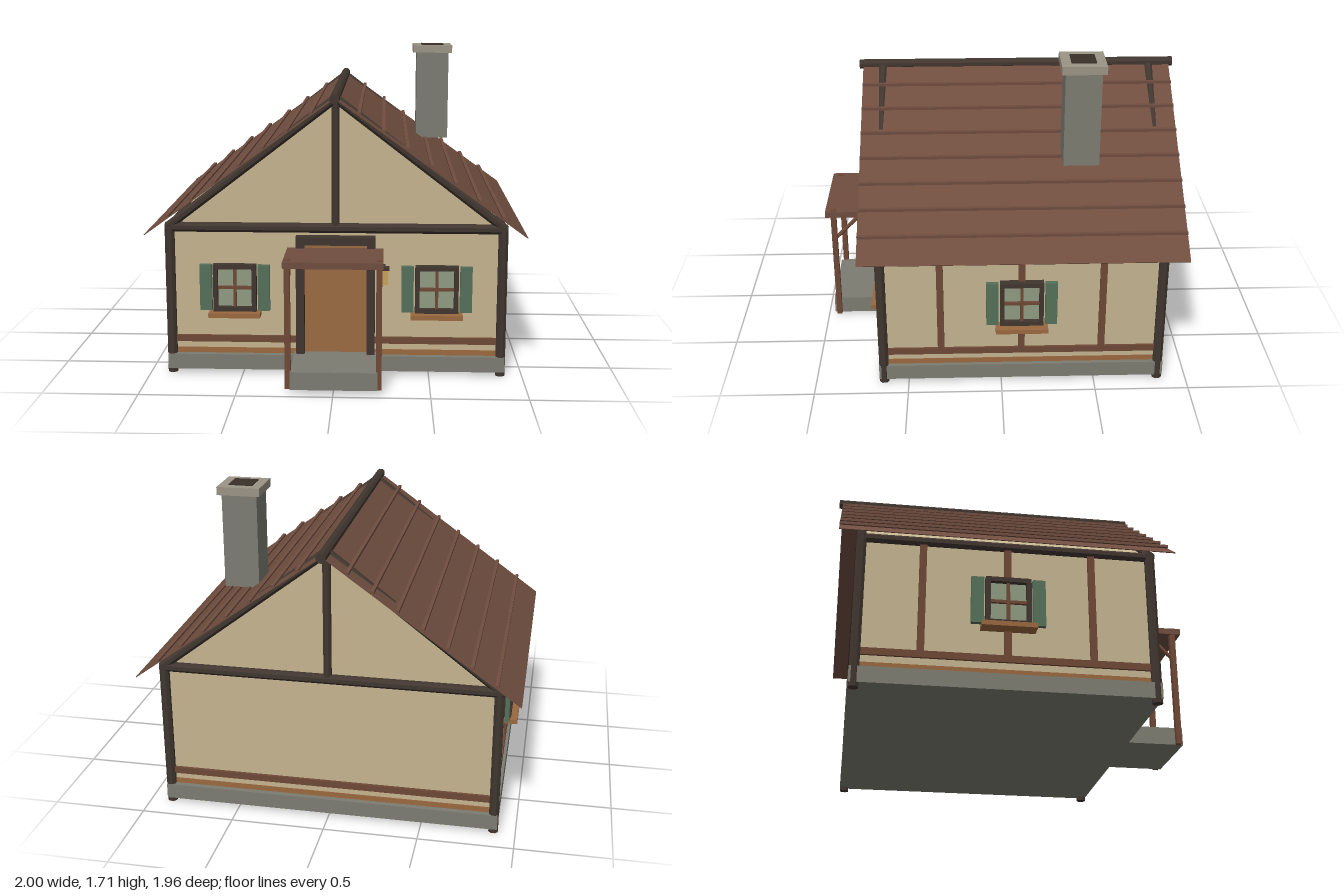
import * as THREE from 'three';

const mat = (color) => new THREE.MeshStandardMaterial({ color, flatShading: true });
const M = {
  wall: mat(0xc4b38f), dark: mat(0x40362f), brown: mat(0x6e4836), roof: mat(0x6f4d3f),
  stone: mat(0x7c7c72), cap: mat(0x9a9484), soot: mat(0x3a302a), glass: mat(0x8f9a80),
  green: mat(0x55705a), wood: mat(0x9a683f), door: mat(0x9c6b42), lamp: mat(0xc9a25a),
};
M.roof.side = THREE.DoubleSide;

// Box given by its extents on each axis
function box(parent, name, m, [x0, x1], [y0, y1], [z0, z1]) {
  const mesh = new THREE.Mesh(new THREE.BoxGeometry(x1 - x0, y1 - y0, z1 - z0), m);
  mesh.position.set((x0 + x1) / 2, (y0 + y1) / 2, (z0 + z1) / 2);
  mesh.name = name;
  parent.add(mesh);
  return mesh;
}

// Eight-sided timber between two points
function timber(parent, name, m, a, b, r = 0.027) {
  const p = new THREE.Vector3(...a), q = new THREE.Vector3(...b);
  const d = q.clone().sub(p);
  const geo = new THREE.CylinderGeometry(r, r, d.length(), 8);
  geo.rotateY(Math.PI / 8);
  const mesh = new THREE.Mesh(geo, m);
  mesh.position.copy(p).add(q).multiplyScalar(0.5);
  mesh.quaternion.setFromUnitVectors(new THREE.Vector3(0, 1, 0), d.normalize());
  mesh.name = name;
  parent.add(mesh);
}

// Shuttered window facing +z with the wall face at z = 0
function makeWindow() {
  const g = new THREE.Group();
  g.name = 'window';
  box(g, 'glass', M.glass, [-0.1, 0.1], [-0.115, 0.115], [-0.01, 0.015]);
  for (const s of [-1, 1]) {
    const x = s * 0.103, y = s * 0.116;
    box(g, 'frameSide', M.dark, [x - 0.012, x + 0.012], [-0.128, 0.128], [0, 0.042]);
    box(g, 'frameRail', M.dark, [-0.115, 0.115], [y - 0.012, y + 0.012], [0, 0.042]);
    box(g, 'shutter', M.green, [s * 0.155 - 0.032, s * 0.155 + 0.032], [-0.124, 0.126], [0.01, 0.035]);
  }
  box(g, 'mullion', M.brown, [-0.008, 0.008], [-0.115, 0.115], [0, 0.03]);
  box(g, 'glazingBar', M.brown, [-0.1, 0.1], [-0.008, 0.008], [0, 0.03]);
  box(g, 'sill', M.wood, [-0.138, 0.138], [-0.154, -0.129], [0, 0.08]);
  return g;
}

export function createModel() {
  const house = new THREE.Group();
  house.name = 'cottage';
  const W = 0.88, ZF = 0.625, ZB = -0.84, ZM = -0.107;

  // Foundation and floor edge
  box(house, 'foundation', M.stone, [-0.905, 0.905], [0.022, 0.105], [-0.872, 0.658]);
  box(house, 'floor', M.wood, [-W - 0.002, W + 0.002], [0.105, 0.135], [ZB - 0.002, ZF + 0.002]);

  // Walls with gables
  const outline = new THREE.Shape([[-W, 0.1], [W, 0.1], [W, 0.81], [0, 1.48], [-W, 0.81]]
    .map(([x, y]) => new THREE.Vector2(x, y)));
  const walls = new THREE.Mesh(
    new THREE.ExtrudeGeometry(outline, { depth: ZF - ZB, bevelEnabled: false }), M.wall);
  walls.position.z = ZB;
  walls.name = 'walls';
  house.add(walls);

  // Gable-end timbers, front and back
  for (const z of [0.632, -0.846]) {
    for (const s of [-1, 1]) {
      timber(house, 'cornerPost', M.dark, [s * 0.884, 0, z], [s * 0.884, 0.82, z]);
      timber(house, 'rafter', M.dark, [0, 1.49, z], [s * 0.89, 0.807, z], 0.025);
    }
    timber(house, 'tieBeam', M.dark, [-0.905, 0.803, z], [0.905, 0.803, z]);
    timber(house, 'kingPost', M.dark, [0, 0.8, z], [0, 1.48, z], 0.022);
  }
  timber(house, 'ridgeBeam', M.dark, [0, 1.497, -0.98], [0, 1.497, 0.76], 0.026);

  // Side timbers and lower rails
  box(house, 'backRail', M.brown, [-W, W], [0.17, 0.206], [ZB - 0.015, ZB + 0.01]);
  for (const s of [-1, 1]) {
    const xs = [s * W - 0.013, s * W + 0.013];
    box(house, 'frontRail', M.brown, s > 0 ? [0.2, W] : [-W, -0.2], [0.17, 0.206], [ZF - 0.01, ZF + 0.015]);
    box(house, 'sideRail', M.brown, xs, [0.17, 0.206], [ZB, ZF]);
    for (const z of [0.322, ZM, -0.535])
      box(house, 'stud', M.brown, xs, [0.2, 0.8], [z - 0.018, z + 0.018]);
    timber(house, 'wallPlate', M.dark, [s * W, 0.803, ZB], [s * W, 0.803, ZF], 0.025);

    // Windows
    const front = makeWindow();
    front.position.set(s * 0.538, 0.476, ZF);
    const side = makeWindow();
    side.position.set(s * W, 0.488, ZM);
    side.rotation.y = s * Math.PI / 2;
    house.add(front, side);
  }

  // Roof slopes with battens
  const rise = 0.72, len = Math.hypot(1, rise);
  for (const s of [-1, 1]) {
    const slope = new THREE.Mesh(new THREE.BoxGeometry(len, 0.004, 1.7), M.roof);
    slope.position.set(s * 0.5, 1.5 - rise / 2, -0.11);
    slope.rotation.z = -s * Math.atan(rise);
    slope.name = 'roofSlope';
    house.add(slope);
    for (let i = 1; i <= 7; i++) {
      const x = s * i * 0.125, y = 1.5 - rise * i * 0.125 + 0.012;
      box(house, 'roofBatten', M.roof, [x - 0.009, x + 0.009], [y - 0.008, y + 0.007], [-0.96, 0.74]);
    }
  }

  // Chimney
  const chimney = new THREE.Group();
  chimney.name = 'chimney';
  box(chimney, 'chimneyStack', M.stone, [0.443, 0.632], [1.155, 1.67], [-0.518, -0.33]);
  box(chimney, 'chimneyCap', M.cap, [0.422, 0.652], [1.665, 1.709], [-0.54, -0.31]);
  box(chimney, 'flue', M.soot, [0.473, 0.601], [1.66, 1.714], [-0.489, -0.361]);
  house.add(chimney);

  // Door and porch
  const porch = new THREE.Group();
  porch.name = 'porch';
  box(porch, 'door', M.door, [-0.17, 0.17], [0.11, 0.725], [ZF - 0.02, ZF + 0.003]);
  box(porch, 'doorLintel', M.dark, [-0.21, 0.21], [0.718, 0.762], [ZF, 0.682]);
  box(porch, 'step', M.stone, [-0.222, 0.228], [0.022, 0.118], [0.63, 0.962]);
  box(porch, 'porchRoof', M.roof, [-0.255, 0.255], [0.667, 0.701], [0.66, 0.98]);
  for (const s of [-1, 1]) {
    const x = s * 0.188, p = s * 0.234;
    box(porch, 'doorPost', M.dark, [x - 0.022, x + 0.022], [0.1, 0.72], [ZF, 0.678]);
    box(porch, 'porchPost', M.brown, [p - 0.015, p + 0.015], [0.022, 0.706], [0.92, 0.95]);
    timber(porch, 'brace', M.brown, [p, 0.52, 0.935], [p, 0.672, 0.785], 0.011);
  }
  house.add(porch);

  // Wall lantern
  const lantern = new THREE.Group();
  lantern.name = 'lantern';
  box(lantern, 'lanternBody', M.lamp, [0.238, 0.278], [0.515, 0.595], [0.667, 0.705]);
  box(lantern, 'lanternCap', M.dark, [0.23, 0.286], [0.592, 0.606], [0.66, 0.713]);
  box(lantern, 'lanternBracket', M.dark, [0.252, 0.264], [0.596, 0.608], [ZF, 0.69]);
  house.add(lantern);

  return house;
}
